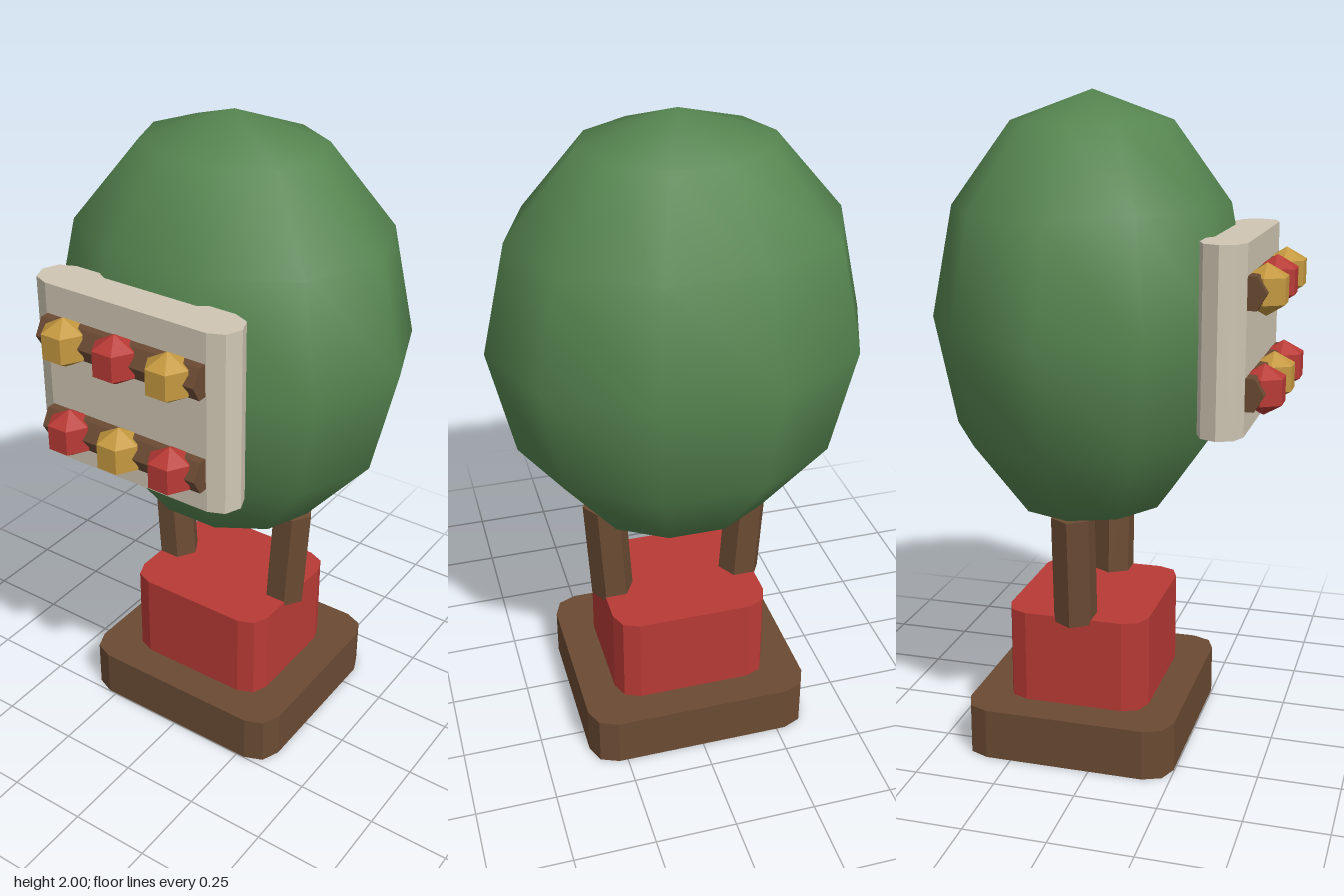
import * as THREE from 'three';

const material = (name, color, flat = false) => {
  const m = new THREE.MeshStandardMaterial({ color, flatShading: flat });
  m.name = name;
  return m;
};

// Upright block whose four vertical corners are rounded in two facets
function roundedBlock(w, h, d, r) {
  const shape = new THREE.Shape();
  const x = w / 2 - r, y = d / 2 - r;
  [[x, y], [-x, y], [-x, -y], [x, -y]].forEach(([cx, cy], corner) => {
    for (let i = 0; i <= 2; i++) {
      const a = (corner + i / 2) * Math.PI / 2;
      const px = cx + r * Math.cos(a), py = cy + r * Math.sin(a);
      if (corner + i === 0) shape.moveTo(px, py);
      else shape.lineTo(px, py);
    }
  });
  shape.closePath();
  const geo = new THREE.ExtrudeGeometry(shape, { depth: h, bevelEnabled: false });
  return geo.rotateX(-Math.PI / 2);
}

export function createModel() {
  const model = new THREE.Group();
  model.name = 'balloonTree';
  const green = material('leafGreen', 0x568550);
  const brown = material('woodBrown', 0x6b4b33, true);
  const red = material('red', 0xb83a35, true);
  const gold = material('gold', 0xc4983f, true);
  const cream = material('cream', 0xcfc6b3, true);

  const add = (name, geo, mat, x, y, z, parent = model) => {
    const mesh = new THREE.Mesh(geo, mat);
    mesh.name = name;
    mesh.position.set(x, y, z);
    parent.add(mesh);
    return mesh;
  };
  const midZ = -0.08;

  // Stand and basket
  add('base', roundedBlock(0.715, 0.157, 0.655, 0.08), brown, 0, 0, midZ);
  add('basket', roundedBlock(0.495, 0.288, 0.445, 0.07), red, 0, 0.157, midZ);

  // Two hexagonal posts leaning outward
  for (const side of [-1, 1]) {
    const geo = new THREE.CylinderGeometry(0.067, 0.067, 0.34, 6).rotateY(Math.PI / 2);
    const post = add(side > 0 ? 'leftPost' : 'rightPost', geo, brown, side * 0.222, 0.6, midZ);
    post.rotation.z = -side * 0.06;
  }

  // Smooth low-poly envelope
  const envelope = new THREE.SphereGeometry(1, 10, 6).scale(0.562, 0.66, 0.473);
  add('envelope', envelope, green, 0, 1.34, midZ - 0.003);

  // Front panel with two rails of beads
  add('panel', roundedBlock(0.67, 0.543, 0.134, 0.0669), cream, 0, 1.06, 0.367);
  const bead = new THREE.SphereGeometry(0.075, 6, 3);
  [[1.465, [gold, red, gold]], [1.18, [red, gold, red]]].forEach(([y, colors], row) => {
    const rail = new THREE.CylinderGeometry(0.055, 0.055, 0.53, 6)
      .rotateY(Math.PI / 2).rotateZ(Math.PI / 2);
    // Hexagon turned so that one flat side faces forward
    rail.rotateX(Math.PI / 2);
    const group = new THREE.Group();
    group.name = row ? 'lowerRow' : 'upperRow';
    model.add(group);
    add('rail', rail, brown, 0, y, 0.433, group);
    colors.forEach((c, i) => add('bead', bead, c, (i - 1) * 0.175, y, 0.473, group));
  });

  return model;
}
